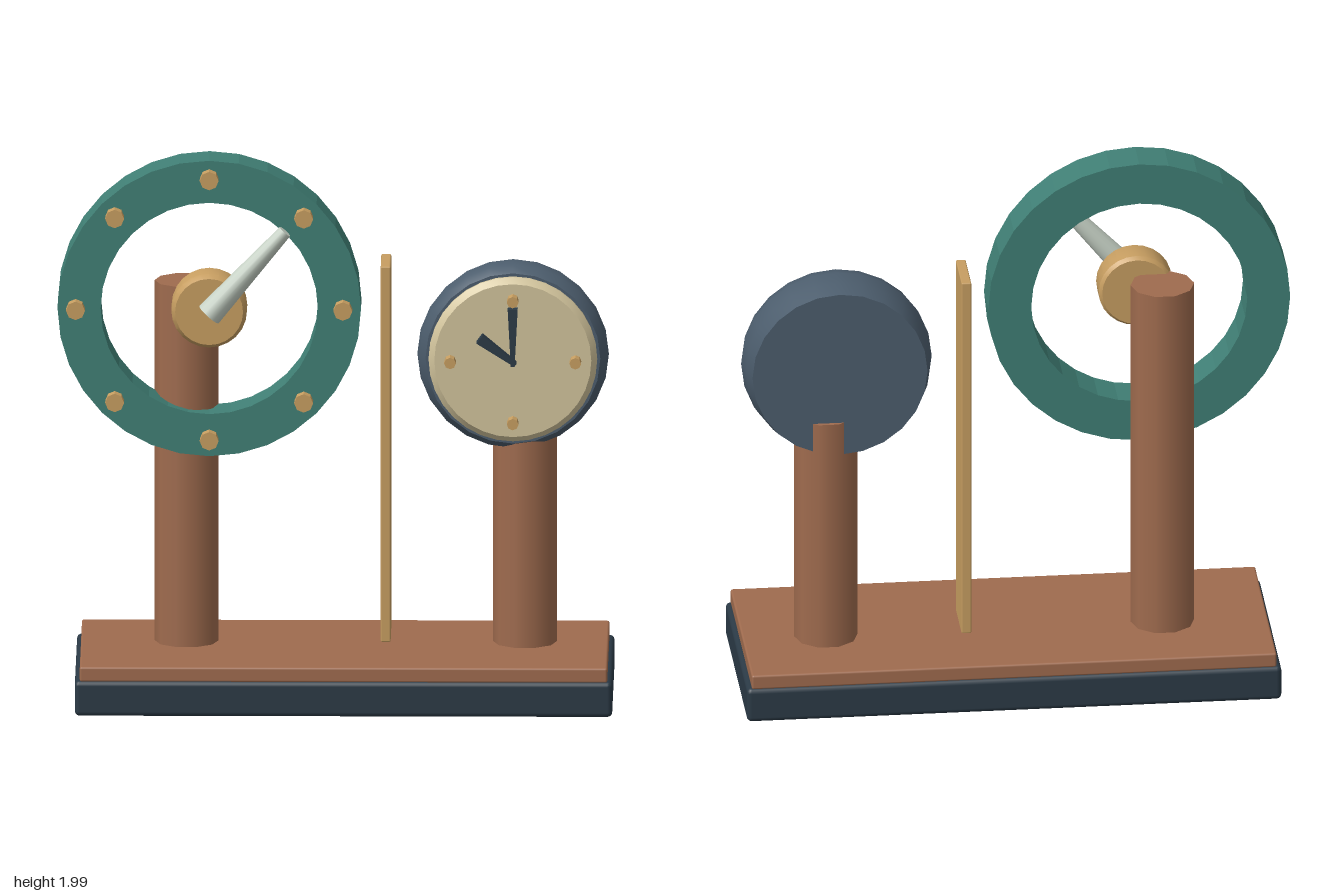
import * as THREE from 'three';
import { RoundedBoxGeometry } from 'three/addons/geometries/RoundedBoxGeometry.js';
import { toCreasedNormals } from 'three/addons/utils/BufferGeometryUtils.js';

const mat = (name, color) => {
  const m = new THREE.MeshStandardMaterial({ color });
  m.name = name;
  return m;
};

export function createModel() {
  const model = new THREE.Group();
  model.name = 'wheelAndClock';
  const wood = mat('wood', 0x9f6b4e);
  const navy = mat('darkNavy', 0x2b3a46);
  const slate = mat('slate', 0x4c5d6d);
  const teal = mat('teal', 0x407f75);
  const brass = mat('brass', 0xc79e61);
  const cream = mat('cream', 0xd2c49c);
  const pale = mat('paleGreen', 0xc6d1c5);

  const add = (name, geo, material, x, y, z, parent = model) => {
    const mesh = new THREE.Mesh(geo, material);
    mesh.name = name;
    mesh.position.set(x, y, z);
    parent.add(mesh);
    return mesh;
  };
  // Solid turned about the z axis; profile points are [radius, z], back to front
  const turned = (profile, sides, crease = 0.6) => {
    const g = new THREE.LatheGeometry(profile.map(([r, z]) => new THREE.Vector2(r, z)), sides);
    g.rotateX(Math.PI / 2);
    return toCreasedNormals(g, crease);
  };

  // Base and top plate
  add('base', new RoundedBoxGeometry(1.93, 0.13, 0.77, 2, 0.018), navy, 0.03, 0.065, 0);
  add('basePlate', new RoundedBoxGeometry(1.895, 0.055, 0.755, 2, 0.008), wood, 0.03, 0.1535, 0);

  // Posts
  for (const [name, x, top] of [['wheelPost', -0.538, 1.51], ['clockPost', 0.677, 1.06]]) {
    const h = top - 0.17;
    add(name, new THREE.CylinderGeometry(0.115, 0.115, h, 10, 1, false, Math.PI / 2), wood, x, 0.17 + h / 2, -0.05);
  }

  // Upright divider
  add('divider', new RoundedBoxGeometry(0.036, 1.385, 0.205, 1, 0.005), brass, 0.178, 0.895, -0.037);

  // Wheel
  const wheel = new THREE.Group();
  wheel.name = 'wheel';
  wheel.position.set(-0.455, 1.441, 0);
  model.add(wheel);
  add('wheelRing', turned([[0.39, -0.049], [0.545, -0.049], [0.545, 0.103], [0.39, 0.103], [0.39, -0.049]], 32, 0.1),
    teal, 0, 0, 0, wheel);
  const bolt = turned([[0, 0.09], [0.034, 0.09], [0.034, 0.146], [0, 0.146]], 8, 0.1);
  for (let i = 0; i < 8; i++) {
    const a = i * Math.PI / 4;
    add('wheelBolt', bolt, brass, 0.48 * Math.cos(a), 0.48 * Math.sin(a), 0, wheel);
  }
  add('hub', turned([[0, 0.035], [0.125, 0.035], [0.136, 0.05], [0.136, 0.145], [0.122, 0.167], [0, 0.167]], 24),
    brass, 0, 0.002, 0, wheel);

  // Tapered crank handle
  const tip = new THREE.Vector3(0.273, 0.307, 0);
  const handle = add('handle', new THREE.CylinderGeometry(0.025, 0.047, tip.length(), 14), pale,
    tip.x / 2, tip.y / 2, 0.198, wheel);
  handle.quaternion.setFromUnitVectors(new THREE.Vector3(0, 1, 0), tip.clone().normalize());

  // Clock
  const clock = new THREE.Group();
  clock.name = 'clock';
  clock.position.set(0.635, 1.25, 0);
  model.add(clock);
  add('clockCase', turned([[0, -0.145], [0.316, -0.145], [0.333, -0.08], [0.344, -0.015], [0.337, 0.03], [0.314, 0.063],
    [0, 0.063]], 24), slate, 0, 0, 0, clock);
  add('clockFace', turned([[0, 0.05], [0.303, 0.05], [0.303, 0.075], [0.282, 0.098], [0, 0.098]], 32),
    cream, 0, 0, 0, clock);
  const peg = turned([[0, 0.09], [0.021, 0.09], [0.021, 0.145], [0, 0.145]], 8, 0.1);
  for (let i = 0; i < 4; i++) {
    const a = i * Math.PI / 2;
    add('hourPeg', peg, brass, 0.225 * Math.cos(a), 0.225 * Math.sin(a), 0, clock);
  }
  // Hands widen from the pivot to the tip
  const hand = (name, length, angle) => {
    const s = new THREE.Shape([[-0.007, -0.012], [0.007, -0.012], [0.018, length], [-0.018, length]]
      .map(([x, y]) => new THREE.Vector2(x, y)));
    const g = new THREE.ExtrudeGeometry(s, { depth: 0.045, bevelEnabled: false });
    add(name, g, navy, 0, 0, 0.097, clock).rotation.z = angle;
  };
  hand('minuteHand', 0.197, 0);
  hand('hourHand', 0.148, 0.94);

  return model;
}
